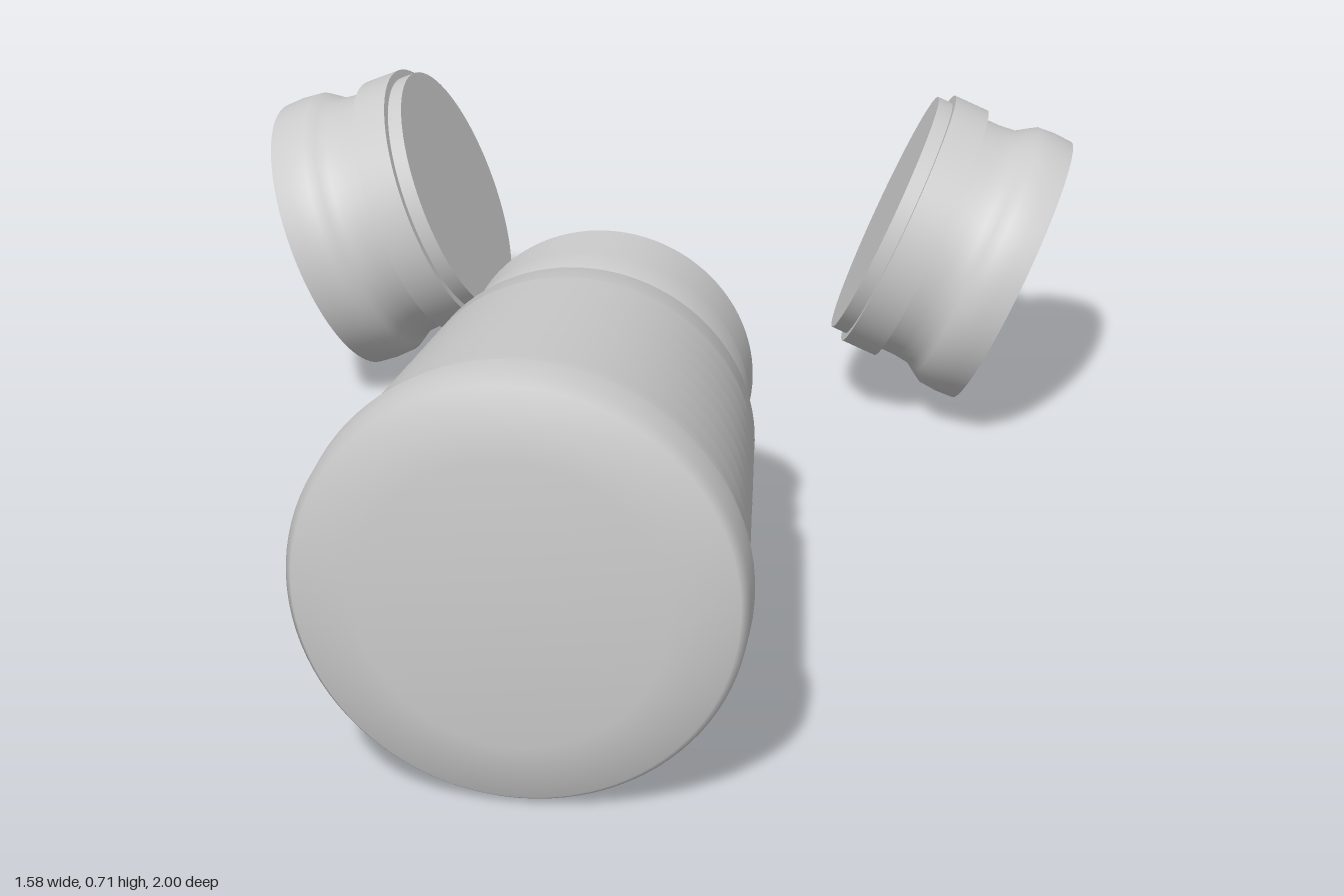
import * as THREE from 'three';
import { mergeGeometries } from 'three/addons/utils/BufferGeometryUtils.js';

// Each run of [radius, height] points is smooth; edges between runs stay sharp.
function lathe(runs, segments = 96) {
  return mergeGeometries(runs.map((run) =>
    new THREE.LatheGeometry(run.map(([r, h]) => new THREE.Vector2(r, h)), segments)));
}

// Zigzag ridges on the tapering wall, from the neck to the foot.
function ridges(inset) {
  const points = [[0.257 - inset, 0.285]];
  const pitch = 0.0622;
  for (let i = 0; i < 9; i++) {
    const z = 0.335 + i * pitch;
    const r = 0.293 + i * 0.0061 - inset;
    points.push([r, z], [r - 0.014, z + pitch / 2]);
  }
  points.push([0.338 - inset, 0.89]);
  return points;
}

export function createModel() {
  const grey = new THREE.MeshStandardMaterial({ color: 0xcccccc });
  grey.name = 'light grey';
  const model = new THREE.Group();
  model.name = 'cupAndCaps';

  const cup = new THREE.Group();
  cup.name = 'cup';
  cup.position.y = 0.36;
  cup.rotation.x = Math.PI / 2;
  model.add(cup);

  const add = (parent, name, runs) => {
    const mesh = new THREE.Mesh(lathe(runs), grey);
    mesh.name = name;
    parent.add(mesh);
  };

  // Open neck with its collar
  add(cup, 'neck', [
    [[0.24, 0.06], [0.258, 0.06]],
    [[0.258, 0.06], [0.258, 0.195]],
    [[0.258, 0.195], [0.268, 0.195]],
    [[0.268, 0.195], [0.268, 0.255], [0.257, 0.285]],
  ]);
  add(cup, 'ridgedWall', [ridges(0)]);

  // Rounded foot with a flat base
  add(cup, 'foot', [
    [[0.338, 0.89], [0.357, 0.89]],
    [[0.357, 0.89], [0.357, 0.95], [0.345, 0.968], [0.24, 1], [0, 1]],
  ]);

  // Hollow inside, following the outer wall
  add(cup, 'lining', [
    [[0, 0.95], [0.318, 0.95]],
    [[0.318, 0.95], ...ridges(0.02).reverse()],
    [[0.237, 0.285], [0.237, 0.2]],
    [[0.237, 0.2], [0.24, 0.195]],
    [[0.24, 0.195], [0.24, 0.06]],
  ]);

  // Two tilted, mirrored caps behind the cup
  for (const side of [1, -1]) {
    const cap = new THREE.Group();
    cap.name = side > 0 ? 'leftCap' : 'rightCap';
    cap.position.set(side * 0.682, 0.29, -0.722);
    cap.rotation.z = side * 1.171;
    model.add(cap);
    add(cap, 'capBody', [
      [[0, 0], [0.277, 0]],
      [[0.277, 0], [0.279, 0.035], [0.276, 0.071], [0.264, 0.09], [0.252, 0.108], [0.248, 0.14], [0.248, 0.175]],
    ]);
    add(cap, 'capCollar', [
      [[0.248, 0.175], [0.265, 0.175]],
      [[0.265, 0.175], [0.265, 0.245]],
      [[0.265, 0.245], [0.249, 0.245]],
    ]);
    add(cap, 'capPlug', [
      [[0.249, 0.245], [0.249, 0.274]],
      [[0.249, 0.274], [0, 0.274]],
    ]);
  }
  return model;
}
